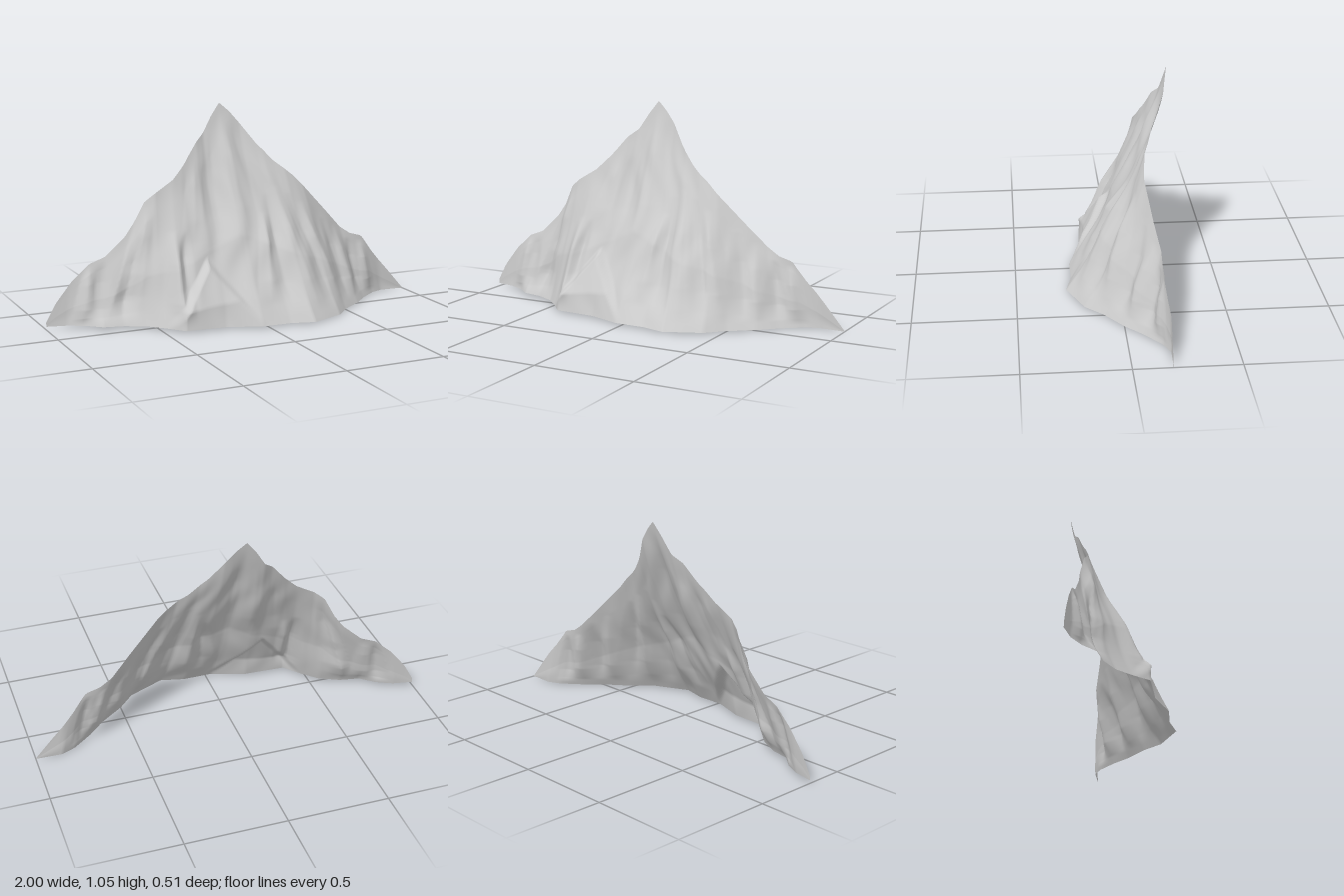
import * as THREE from 'three';

// Skyline and foot of the slope: [x, height or depth]
const SKYLINE = [[-1, 0.04], [-0.95, 0.13], [-0.87, 0.23], [-0.78, 0.31], [-0.7, 0.34], [-0.6, 0.43],
  [-0.55, 0.5], [-0.5, 0.6], [-0.45, 0.64], [-0.35, 0.7], [-0.28, 0.77], [-0.2, 0.87], [-0.15, 0.91],
  [-0.1, 0.99], [-0.05, 1.055], [0, 1.01], [0.05, 0.95], [0.12, 0.85], [0.2, 0.76], [0.3, 0.68],
  [0.4, 0.58], [0.5, 0.48], [0.6, 0.38], [0.66, 0.34], [0.73, 0.32], [0.8, 0.23], [0.9, 0.12], [1, 0.005]];
const CREST_Z = [[-1, -0.19], [-0.8, -0.18], [-0.6, -0.165], [-0.55, -0.165], [-0.5, -0.15], [-0.45, -0.135],
  [-0.35, -0.145], [-0.3, -0.16], [-0.25, -0.185], [-0.2, -0.205], [-0.15, -0.235], [-0.1, -0.25],
  [-0.05, -0.26], [0.05, -0.235], [0.15, -0.17], [0.25, -0.125], [0.35, -0.115], [0.5, -0.145],
  [0.6, -0.17], [0.75, -0.17], [0.85, -0.19], [1, -0.185]];
const FOOT_Z = [[-1, -0.19], [-0.9, -0.17], [-0.82, -0.13], [-0.75, -0.07], [-0.65, -0.05], [-0.55, 0],
  [-0.48, 0.07], [-0.41, 0.155], [-0.2, 0.165], [-0.03, 0.225], [0.12, 0.225], [0.24, 0.255],
  [0.34, 0.21], [0.42, 0.175], [0.5, 0.09], [0.62, 0], [0.7, -0.08], [0.8, -0.16], [0.87, -0.19], [1, -0.185]];

// Spurs (positive) and gullies (negative), top to bottom: x0, y0, x1, y1, width, relief
const FOLDS = [
  [-0.78, 0.31, -0.83, 0.02, 0.06, 0.02],
  [-0.72, 0.32, -0.75, 0.02, 0.07, -0.015],
  [-0.49, 0.58, -0.6, 0.15, 0.08, 0.025],
  [-0.53, 0.45, -0.66, 0.02, 0.07, -0.025],
  [-0.39, 0.46, -0.41, 0.02, 0.07, 0.03],
  [-0.33, 0.45, -0.38, 0.1, 0.06, -0.02],
  [-0.04, 1.0, 0.0, 0.4, 0.09, 0.012],
  [-0.12, 0.9, -0.14, 0.4, 0.1, -0.015],
  [-0.22, 0.8, -0.28, 0.4, 0.08, 0.01],
  [0.1, 0.52, 0.05, 0.1, 0.08, 0.022],
  [0.13, 0.6, 0.15, 0.05, 0.08, -0.02],
  [0.18, 0.64, 0.3, 0.05, 0.08, 0.018],
  [0.25, 0.6, 0.42, 0.04, 0.08, -0.018],
  [0.32, 0.55, 0.48, 0.04, 0.08, 0.018],
  [0.46, 0.45, 0.56, 0.04, 0.07, -0.018],
  [0.55, 0.4, 0.62, 0.04, 0.07, 0.018],
  [0.64, 0.32, 0.68, 0.04, 0.06, -0.018],
  [0.72, 0.3, 0.77, 0.02, 0.06, 0.018],
];

function sample(points, x) {
  let i = 1;
  while (i < points.length - 1 && points[i][0] < x) i++;
  const [a, b] = [points[i - 1], points[i]];
  return THREE.MathUtils.lerp(a[1], b[1], THREE.MathUtils.clamp((x - a[0]) / (b[0] - a[0]), 0, 1));
}

// Each fold widens downhill and tapers out at both ends
function foldRelief(x, y) {
  let sum = 0;
  for (const [x0, y0, x1, y1, width, relief] of FOLDS) {
    const s = (y - y0) / (y1 - y0);
    if (s <= 0 || s >= 1) continue;
    const d = Math.abs(x - THREE.MathUtils.lerp(x0, x1, s)) / (width * (0.4 + 0.6 * s));
    sum += relief * Math.max(0, 1 - d) * Math.min(1, s * 3, (1 - s) * 4);
  }
  return sum;
}

// Small gabled foothill standing out of the lower slope
function foothill(x, y) {
  const inside = 0.33 - y - 1.3 * Math.abs(x + 0.24);
  return 0.035 * THREE.MathUtils.smoothstep(inside, 0, 0.05);
}

// Open rock sheet, swept column by column from the foot to the skyline
function slopeGeometry(columns = 200, rows = 80) {
  const geometry = new THREE.PlaneGeometry(2, 1, columns, rows);
  const position = geometry.attributes.position;
  for (let i = 0; i < position.count; i++) {
    const footX = position.getX(i);
    const t = position.getY(i) + 0.5;
    // Columns fan in towards the summit
    const crestX = footX - (footX > 0 ? 0.11 : 0.05) * Math.sin(Math.PI * footX);
    const footY = 0.01 - 0.008 * footX;
    const x = THREE.MathUtils.lerp(footX, crestX, t);
    const y = THREE.MathUtils.lerp(footY, Math.max(footY, sample(SKYLINE, crestX)), t);
    // The middle of the face is hollowed high up and flares at the foot
    const centre = 1 - Math.abs(footX);
    const lean = t + 0.55 * centre * t * t * (1 - t);
    const flare = -0.018 * centre * Math.sin(Math.PI * Math.min(1, t * 2.5));
    const fade = Math.min(1, t * 8, (1 - t) * 6);
    const ripple = 0.004 * Math.sin(38 * footX + 3 * Math.sin(9 * y)) + 0.003 * Math.sin(19 * y + 6 * x);
    const z = THREE.MathUtils.lerp(sample(FOOT_Z, footX), sample(CREST_Z, crestX), lean)
      + fade * (foldRelief(x, y) + foothill(x, y) + ripple * centre) + flare;
    position.setXYZ(i, x, y, z);
  }
  geometry.computeVertexNormals();
  return geometry;
}

export function createModel() {
  const model = new THREE.Group();
  model.name = 'mountain';
  const rock = new THREE.MeshStandardMaterial({ color: 0xcccccc, side: THREE.DoubleSide });
  const slope = new THREE.Mesh(slopeGeometry(), rock);
  slope.name = 'mountainSlope';
  model.add(slope);
  return model;
}
